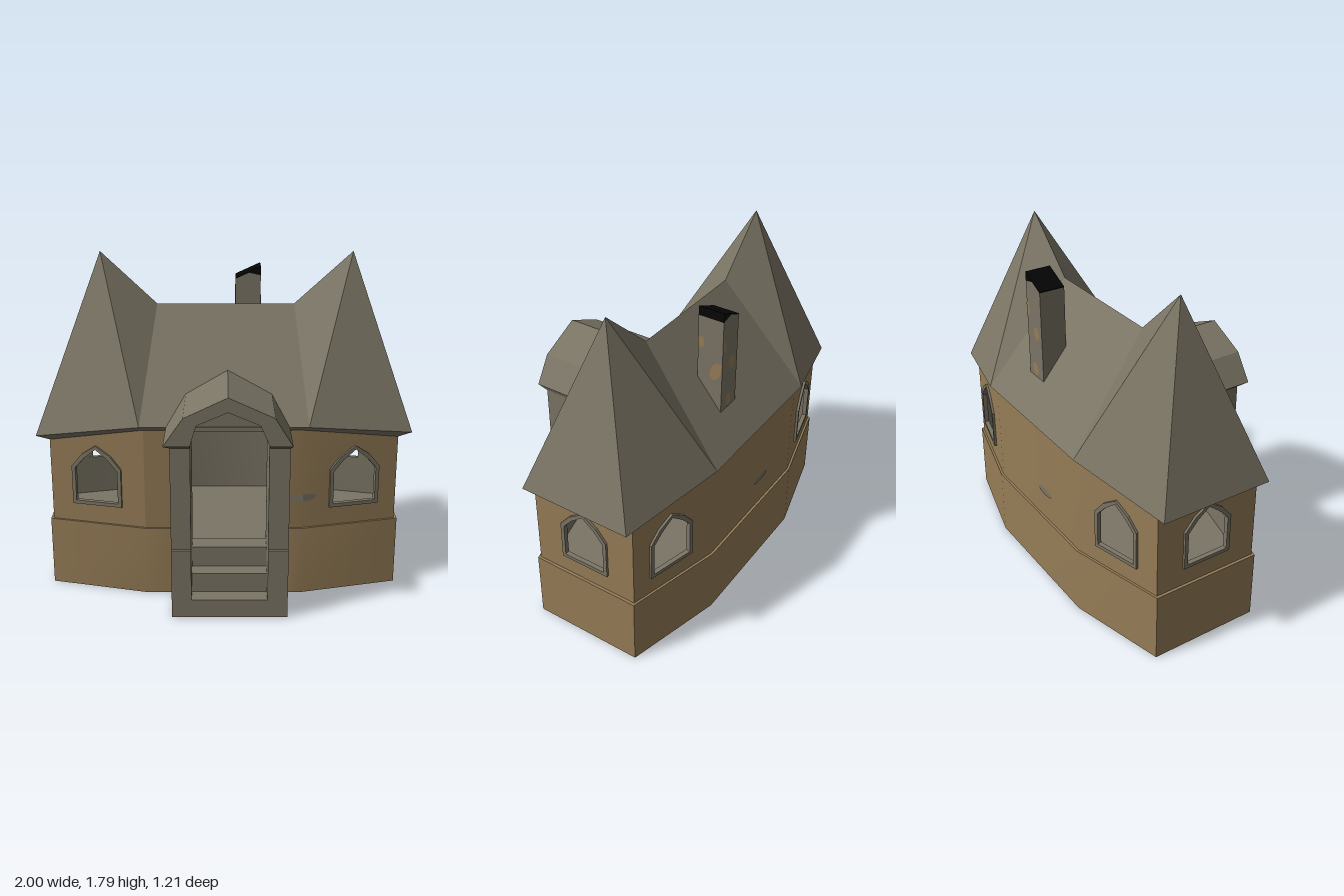
import * as THREE from 'three';
import { mergeGeometries, toCreasedNormals } from 'three/addons/utils/BufferGeometryUtils.js';

const ZC = -0.15; // centre line of the house body
const FLOOR = 0.28;
const DOOR = [-0.168, 0.225], PORCH = [-0.27, 0.33];

const mat = (name, color) =>
  new THREE.MeshStandardMaterial({ name, color, side: THREE.DoubleSide });

// Eight-sided plan, counter-clockwise from front left; lean raises the right end and lowers the left
function ring(xEnd, xMid, dEnd, dMid, yEnd, yMid, lean = 0) {
  const yR = yEnd + lean, yL = yEnd - lean;
  return [[-xMid, yMid, dMid], [xMid, yMid, dMid], [xEnd, yR, dEnd], [xEnd, yR, -dEnd],
    [xMid, yMid, -dMid], [-xMid, yMid, -dMid], [-xEnd, yL, -dEnd], [-xEnd, yL, dEnd]]
    .map(([x, y, z]) => [x, y, ZC + z]);
}

// The same plan as an open path with a gap in the front
function gapped(r, [left, right]) {
  const [, y, z] = r[0];
  return [[right, y, z], ...r.slice(1), r[0], [left, y, z]];
}

// Faces from lists of corners
function facets(polys) {
  const pos = [];
  for (const p of polys)
    for (let i = 1; i < p.length - 1; i++) pos.push(...p[0], ...p[i], ...p[i + 1]);
  const g = new THREE.BufferGeometry();
  g.setAttribute('position', new THREE.Float32BufferAttribute(pos, 3));
  g.computeVertexNormals();
  return g;
}

// Band between two paths with equal point counts
const band = (a, b) =>
  facets(a.slice(1).map((p, i) => [a[i], p, b[i + 1], b[i]]));

// Pointed window outline; s grows or shrinks it
function windowPoints(cx, s) {
  return [[-0.138 - s, 0.485 - s], [0.138 + s, 0.485 - s], [0.138 + s, 0.70 + s * 0.5],
    [0.08 + s * 0.7, 0.77 + s], [0, 0.823 + s], [-0.08 - s * 0.7, 0.77 + s], [-0.138 - s, 0.70 + s * 0.5]]
    .map(([x, y]) => new THREE.Vector2(cx + x, y));
}

// Local frame of the wall panel from p to q, facing outward
function panelFrame(p, q) {
  const o = new THREE.Vector3(p[0], 0, p[2]);
  const d = new THREE.Vector3(q[0] - p[0], 0, q[2] - p[2]);
  const length = d.length();
  d.normalize();
  const up = new THREE.Vector3(0, 1, 0);
  const m = new THREE.Matrix4().makeBasis(d, up, d.clone().cross(up)).setPosition(o);
  return { m, length, d, o };
}

// Window centres (x, z) by wall panel
const WINDOWS = { 1: [0.695, 0.06], 2: [0.925, -0.155], 3: [0.695, -0.5],
  5: [-0.677, -0.5], 6: [-0.925, -0.155], 7: [-0.677, 0.06] };

// Distance along a panel to its window centre
function windowAt(i, f) {
  const [x, z] = WINDOWS[i];
  if (Math.abs(f.d.x) < 0.1) return (z - f.o.z) / f.d.z;
  return (x - f.o.x) / f.d.x;
}

// Wall skin with window openings
function wallSkin(path, y0) {
  const parts = path.slice(1).map((q, i) => {
    const p = path[i], f = panelFrame(p, q);
    const s = new THREE.Shape([[0, y0], [f.length, y0], [f.length, q[1]], [0, p[1]]]
      .map(([x, y]) => new THREE.Vector2(x, y)));
    if (WINDOWS[i]) s.holes.push(new THREE.Path(windowPoints(windowAt(i, f), -0.01)));
    const g = new THREE.ShapeGeometry(s).toNonIndexed().applyMatrix4(f.m);
    g.deleteAttribute('uv');
    return g;
  });
  return toCreasedNormals(mergeGeometries(parts), 0.5);
}

export function createModel() {
  const house = new THREE.Group();
  house.name = 'cottage';
  const stone = mat('grey stone', 0x7b7565);
  const plaster = mat('tan plaster', 0x967d57);
  const soot = mat('black soot', 0x050505);

  const add = (name, geometry, material, parent = house) => {
    const m = new THREE.Mesh(geometry, material);
    m.name = name;
    parent.add(m);
    return m;
  };
  const extrude = (name, points, z0, z1, material, parent) => {
    const s = new THREE.Shape(points.map(([x, y]) => new THREE.Vector2(x, y)));
    const g = new THREE.ExtrudeGeometry(s, { depth: z1 - z0, bevelEnabled: false });
    return add(name, g.translate(0, 0, z0), material, parent);
  };

  // Base skirt, open underneath, with a narrow ledge on top
  const baseAt = y => gapped(ring(0.945, 0.42, 0.303, 0.437, y, y), PORCH);
  add('baseWall', toCreasedNormals(band(baseAt(0), baseAt(0.38)), 0.5), plaster);
  add('baseLedge', band(baseAt(0.38),
    gapped(ring(0.93, 0.42, 0.295, 0.424, 0.38, 0.38), PORCH)), plaster);

  // Walls and room
  const wallTop = ring(0.93, 0.42, 0.295, 0.424, 0.843, 0.93, 0.008);
  const outer = gapped(wallTop, DOOR);
  const inner = gapped(ring(0.92, 0.418, 0.287, 0.414, 0.843, 0.93, 0.008), DOOR);
  add('outerWall', wallSkin(outer, 0.38), plaster);
  add('innerWall', wallSkin(inner, FLOOR), stone);
  add('floor', facets([ring(0.922, 0.418, 0.289, 0.416, FLOOR, FLOOR)]), stone);
  const w = wallTop;
  add('ceiling', facets([[w[0], w[5], w[4], w[1]], [w[1], w[4], w[3], w[2]],
    [w[0], w[7], w[6], w[5]]]), stone);

  // Window frames
  for (const i of Object.keys(WINDOWS).map(Number)) {
    const f = panelFrame(outer[i], outer[i + 1]), u = windowAt(i, f);
    const s = new THREE.Shape(windowPoints(u, 0));
    s.holes.push(new THREE.Path(windowPoints(u, -0.02)));
    const g = new THREE.ExtrudeGeometry(s, { depth: 0.025, bevelEnabled: false });
    add('windowFrame', g.translate(0, 0, -0.012).applyMatrix4(f.m), stone);
  }

  // Roof with two spires joined by a ridge
  const e = ring(1, 0.44, 0.31, 0.455, 0.87, 0.955, 0.01);
  const pL = [-0.66, 1.793, ZC], pR = [0.69, 1.793, ZC];
  const rL = [-0.36, 1.51, ZC], rR = [0.38, 1.51, ZC];
  add('roof', facets([
    [e[0], e[1], rR, rL], [e[1], pR, rR], [e[1], e[2], pR], [e[2], e[3], pR],
    [e[3], e[4], pR], [e[4], rR, pR], [e[4], e[5], rL, rR], [e[5], pL, rL],
    [e[5], e[6], pL], [e[6], e[7], pL], [e[7], e[0], pL], [e[0], rL, pL]]), stone);
  add('eaves', band(outer, gapped(e, DOOR)), stone);

  // Porch, with steps hollow underneath and a sill down to the floor
  const porch = new THREE.Group();
  porch.name = 'porch';
  house.add(porch);
  const stair = [[0, 0.56], [0.10, 0.56], [0.10, 0.47], [0.205, 0.47], [0.205, 0.38],
    [0.315, 0.38], [0.315, 0.275], [FLOOR, 0.265]];
  const side = x => stair.map(([y, z]) => [x, y, z]);
  add('steps', band(side(DOOR[1]), side(DOOR[0])), stone, porch);

  // Each side: hollow footing, pillar and sloping eave
  for (const [rim, wall, door] of [[-0.30, PORCH[0], DOOR[0]], [0.34, PORCH[1], DOOR[1]]]) {
    const turn = p => (rim < 0 ? p : p.slice().reverse());
    const outside = [[wall, 0, 0.27], [wall, 0, 0.56], [wall, 0.38, 0.56], [wall, 0.38, 0.27]];
    const front = [[wall, 0, 0.56], [door, 0, 0.56], [door, 0.38, 0.56], [wall, 0.38, 0.56]];
    const ledge = [[wall, 0.38, 0.56], [door, 0.38, 0.56], [door, 0.38, 0.27], [wall, 0.38, 0.27]];
    const jamb = [[door, 0.38, 0.56], ...side(door).slice(1, -1), [door, 0.38, 0.275]];
    add('pillarFooting', facets([outside, front, ledge, turn(turn(jamb))].map(turn)), stone, porch);
    const pillar = new THREE.BoxGeometry(Math.abs(door - wall), 0.575, 0.275);
    add('pillar', pillar.translate((wall + door) / 2, 0.6675, 0.4105), stone, porch);
    const low = [[wall, 0.93, 0.05], [wall, 0.93, 0.55], [door, 0.93, 0.55]];
    const high = [[rim, 0.955, 0.05], [rim, 0.955, 0.60], [door, 0.955, 0.60]];
    add('porchEaves', rim < 0 ? band(low, high) : band(high, low), stone, porch);
  }
  const arch = [[DOOR[1], 0.955], [0.178, 1.063], [0.02, 1.13], [-0.135, 1.063], [DOOR[0], 0.955]];
  extrude('porchRoof', [[-0.30, 0.955], [-0.20, 1.10], [0.02, 1.205], [0.25, 1.10], [0.34, 0.955],
    ...arch], 0.05, 0.60, stone, porch);
  extrude('archPanel', [[DOOR[0], 0.93], [DOOR[1], 0.93], ...arch], 0.295, 0.303, stone, porch);

  // Chimney with a slanted sooty top
  extrude('chimney', [[0.065, 1.1], [0.205, 1.1], [0.205, 1.63], [0.14, 1.645], [0.065, 1.611]],
    -0.475, -0.335, stone);
  extrude('chimneySoot', [[0.065, 1.611], [0.14, 1.645], [0.205, 1.63], [0.205, 1.68], [0.065, 1.616]],
    -0.475, -0.335, soot);

  // Worn patches: position, radii, turn about y, tilt, arc
  const patch = (name, pos, rx, ry, turn, tilt, material, start = 0, arc = Math.PI * 2) => {
    const g = new THREE.CircleGeometry(1, 14, start, arc).scale(rx, ry, 1).rotateZ(tilt).rotateY(turn);
    add(name, g.translate(...pos), material);
  };
  // The front wall patch folds round the corner between two panels
  patch('wallPatch', [0.42, 0.55, 0.277], 0.09, 0.02, 0, 0.1, stone, Math.PI / 2, Math.PI);
  patch('wallPatch', [0.42, 0.55, 0.277], 0.072, 0.02, 0.253, 0.1, stone, -Math.PI / 2, Math.PI);
  patch('wallPatch', [-0.08, 0.55, -0.577], 0.07, 0.02, Math.PI, 0, stone);
  patch('chimneyPatch', [0.207, 1.49, -0.354], 0.018, 0.033, Math.PI / 2, 0, plaster);
  patch('chimneyPatch', [0.207, 1.345, -0.44], 0.03, 0.055, Math.PI / 2, -0.4, plaster);
  for (const [x, y, rx] of [[0.19, 1.49, 0.014], [0.115, 1.37, 0.025], [0.14, 1.16, 0.025]])
    patch('chimneyPatch', [x, y, -0.477], rx, 0.036, Math.PI, 0.2, plaster);

  return house;
}
